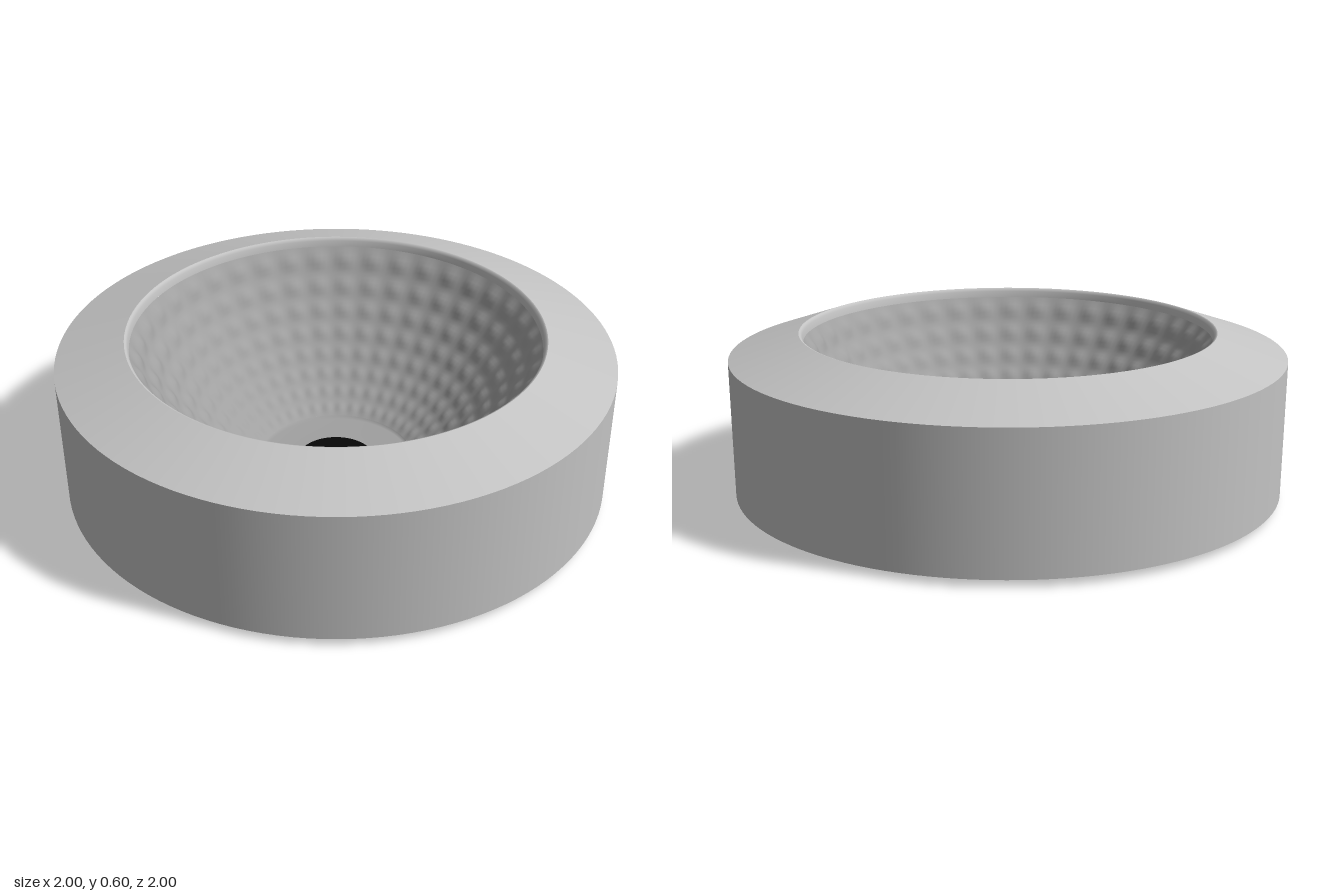
import * as THREE from 'three';
import { mergeVertices } from 'three/addons/utils/BufferGeometryUtils.js';

const SEGMENTS = 128;

function lathe(name, points, material, segments = SEGMENTS) {
  const geometry = new THREE.LatheGeometry(points.map(([r, y]) => new THREE.Vector2(r, y)), segments);
  const mesh = new THREE.Mesh(geometry, material);
  mesh.name = name;
  return mesh;
}

// Parabolic bowl whose inside is covered in rows of soft pillow-shaped facets
function dimpledBowl(material) {
  const columns = 40, rows = 8, steps = 6;
  const r0 = 0.29, r1 = 0.735, y0 = 0.05, y1 = 0.565;
  const count = rows * steps;
  const profile = [];
  for (let i = 0; i <= count; i++) {
    const r = r0 + (r1 - r0) * i / count;
    profile.push([r, y0 + (y1 - y0) * (r * r - r0 * r0) / (r1 * r1 - r0 * r0)]);
  }
  const mesh = lathe('reflectorBowl', profile, material, columns * steps);
  const position = mesh.geometry.attributes.position;
  const normal = mesh.geometry.attributes.normal;
  const p = new THREE.Vector3(), n = new THREE.Vector3();
  for (let i = 0; i < position.count; i++) {
    p.fromBufferAttribute(position, i);
    n.fromBufferAttribute(normal, i);
    const row = (i % (count + 1)) / steps;
    const angle = Math.atan2(p.x, p.z);
    const pillow = Math.sin(Math.PI * row) ** 2 * Math.sin(angle * columns / 2) ** 2;
    const radius = Math.hypot(p.x, p.z);
    p.addScaledVector(n, -0.018 * radius * pillow);
    position.setXYZ(i, p.x, p.y, p.z);
  }
  // Weld the seam so the shading runs round smoothly
  mesh.geometry.deleteAttribute('uv');
  mesh.geometry.deleteAttribute('normal');
  mesh.geometry = mergeVertices(mesh.geometry, 1e-5);
  mesh.geometry.computeVertexNormals();
  return mesh;
}

export function createModel() {
  const housingGrey = new THREE.MeshStandardMaterial({ color: 0xc4c4c4 });
  housingGrey.name = 'housing grey';
  const reflectorGrey = new THREE.MeshStandardMaterial({ color: 0xa0a0a0, side: THREE.DoubleSide });
  reflectorGrey.name = 'reflector grey';
  const black = new THREE.MeshStandardMaterial({ color: 0x080808 });
  black.name = 'black';

  // Hollow housing ring, one lathe per smooth section so the edges stay sharp
  const housing = new THREE.Group();
  housing.name = 'housing';
  const underside = new THREE.SplineCurve([
    [0.65, 0.33], [0.66, 0.2], [0.69, 0.11], [0.74, 0.05],
    [0.8, 0.022], [0.86, 0.014], [0.93, 0.016], [0.994, 0.025],
  ].map(([r, y]) => new THREE.Vector2(r, y))).getPoints(32).map(v => [v.x, v.y]);
  housing.add(
    lathe('housingUnderside', underside, housingGrey),
    lathe('innerEdge', [[0.637, 0.34], [0.65, 0.33]], housingGrey),
    lathe('outerWall', [[0.994, 0.025], [1, 0.515]], housingGrey),
    lathe('topBevel', [[1, 0.515], [0.75, 0.6]], housingGrey),
    lathe('openingLip', [[0.75, 0.6], [0.744, 0.598], [0.738, 0.588], [0.735, 0.565]], housingGrey),
  );

  // Reflector with its flat floor and the rounded boss beneath it
  const reflector = new THREE.Group();
  reflector.name = 'reflector';
  reflector.add(
    dimpledBowl(reflectorGrey),
    lathe('reflectorFloor', [[0.14, 0.04], [0.28, 0.04], [0.29, 0.05]], reflectorGrey),
    lathe('bottomBoss', [[0, 0], [0.1, 0.002], [0.118, 0.01], [0.145, 0.04]], reflectorGrey),
  );

  // Dark disc in the middle of the reflector
  const disc = new THREE.Mesh(new THREE.CircleGeometry(0.145, 64), black);
  disc.name = 'centreDisc';
  disc.rotation.x = -Math.PI / 2;
  disc.position.y = 0.044;

  const model = new THREE.Group();
  model.name = 'spotlight';
  model.add(housing, reflector, disc);
  return model;
}
